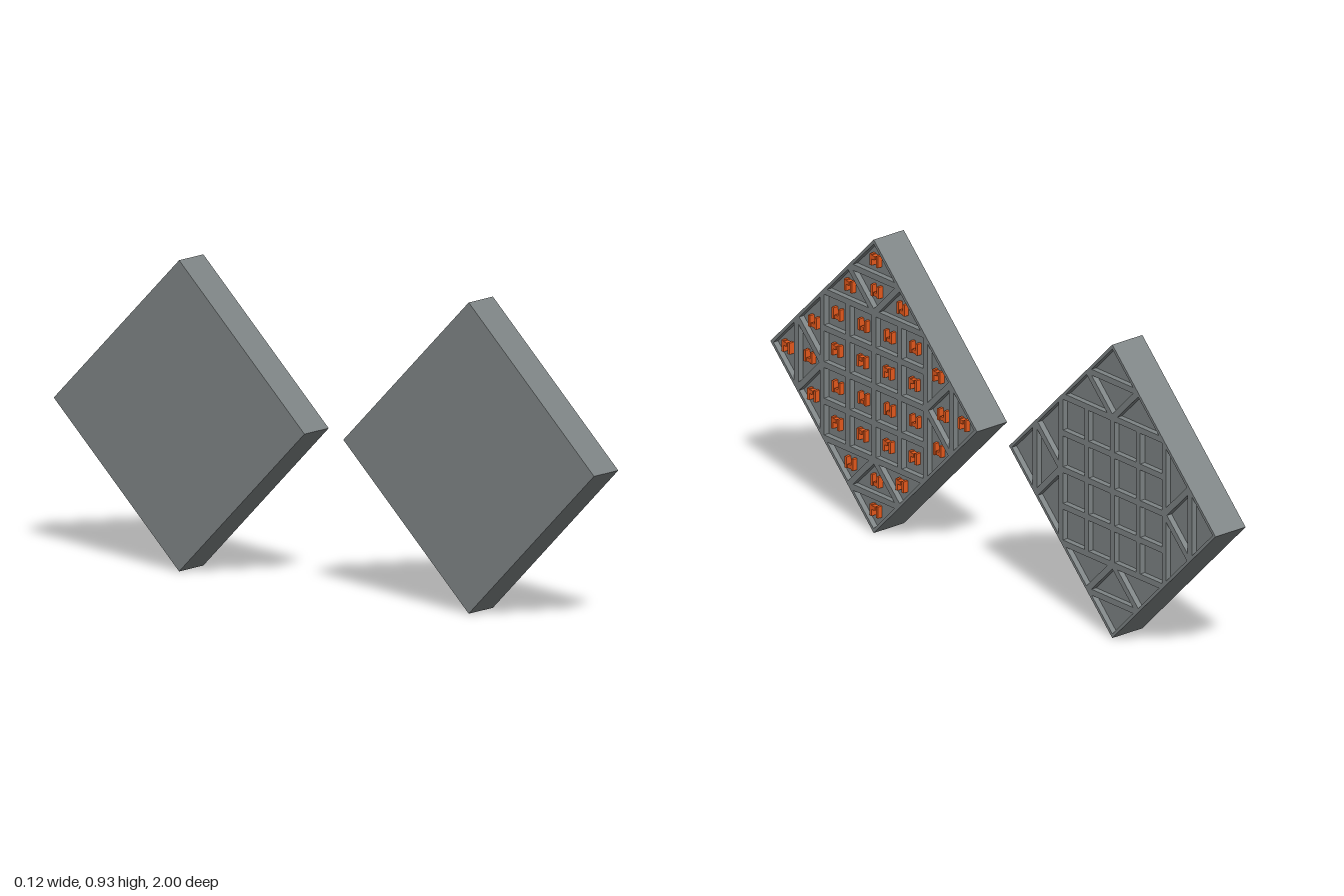
import * as THREE from 'three';

const R = 0.464;          // half diagonal of a plate
const H = R / 2;          // half side of the inner square field
const T = 0.116;          // plate thickness
const D = 0.018;          // depth of the pockets
const W = 0.0095;         // half width of the ribs between pockets

const grey = new THREE.MeshStandardMaterial({ color: 0x7d8384, flatShading: true });
const orange = new THREE.MeshStandardMaterial({ color: 0xe85a1c });

const v = (x, y) => new THREE.Vector2(x, y);

// A cell: its outline and the pocket outline, whose sides lie W further in
function makeCell(outer, centre, inradius) {
  const k = 1 - W / inradius;
  const inner = outer.map(p => p.clone().sub(centre).multiplyScalar(k).add(centre));
  return { outer, inner, centre };
}

function triangleCell(a, b, c) {
  const la = b.distanceTo(c), lb = a.distanceTo(c), lc = a.distanceTo(b), sum = la + lb + lc;
  const centre = v(
    (a.x * la + b.x * lb + c.x * lc) / sum,
    (a.y * la + b.y * lb + c.y * lc) / sum);
  const area = ((b.x - a.x) * (c.y - a.y) - (c.x - a.x) * (b.y - a.y)) / 2;
  return makeCell([a, b, c], centre, 2 * area / sum);
}

function allCells() {
  const cells = [];
  // 4 x 4 square cells
  const s = H / 4;
  for (let i = 0; i < 4; i++) {
    for (let j = 0; j < 4; j++) {
      const x = (i - 1.5) * 2 * s, y = (j - 1.5) * 2 * s;
      const square = [v(x - s, y - s), v(x + s, y - s), v(x + s, y + s), v(x - s, y + s)];
      cells.push(makeCell(square, v(x, y), s));
    }
  }
  // Each corner: a tip, an inverted middle and two side triangles
  const m = H * 1.5, q = H / 2;
  const corner = [
    [[-q, m], [q, m], [0, R]],
    [[-q, m], [0, H], [q, m]],
    [[-H, H], [0, H], [-q, m]],
    [[0, H], [H, H], [q, m]],
  ];
  for (let k = 0; k < 4; k++) {
    const turn = ([x, y]) => v(x, y).rotateAround(v(0, 0), k * Math.PI / 2);
    corner.forEach(([a, b, c]) => cells.push(triangleCell(turn(a), turn(b), turn(c))));
  }
  return cells;
}

// Ribs, pocket walls and pocket floors of all cells as one surface
function ribbedGeometry(cells) {
  const points = [];
  const top = p => new THREE.Vector3(p.x, p.y, T / 2);
  const low = p => new THREE.Vector3(p.x, p.y, T / 2 - D);
  const quad = (a, b, c, d) => points.push(a, b, c, a, c, d);
  cells.forEach(({ outer, inner }) => {
    const n = outer.length;
    for (let i = 0; i < n; i++) {
      const j = (i + 1) % n;
      quad(top(outer[i]), top(outer[j]), top(inner[j]), top(inner[i]));
      quad(top(inner[i]), top(inner[j]), low(inner[j]), low(inner[i]));
      if (i > 0 && j > 0) points.push(low(inner[0]), low(inner[i]), low(inner[j]));
    }
  });
  const geometry = new THREE.BufferGeometry().setFromPoints(points);
  geometry.computeVertexNormals();
  return geometry;
}

function makePlate(name, cells, marked) {
  const plate = new THREE.Group();
  plate.name = name;
  const add = (part, geometry) => {
    const mesh = new THREE.Mesh(geometry, grey);
    mesh.name = part;
    plate.add(mesh);
  };

  // Four edges, plain back and ribbed face
  add('edges', new THREE.CylinderGeometry(R, R, T, 4, 1, true).rotateX(Math.PI / 2));
  add('backFace', new THREE.CircleGeometry(R, 4).rotateY(Math.PI).translate(0, 0, -T / 2));
  add('ribbedFace', ribbedGeometry(cells));

  // Small raised bars in every pocket
  if (marked) {
    const height = D * 0.9;
    const tall = new THREE.BoxGeometry(0.009, 0.036, height);
    const short = new THREE.BoxGeometry(0.014, 0.012, height);
    cells.forEach(({ centre }, i) => {
      const marks = new THREE.Group();
      marks.name = 'pocketMarks';
      const flip = i % 2 ? -1 : 1;
      [[tall, -0.016, 0], [tall, 0.012, 0], [short, -0.004, 0.009]].forEach(([geometry, x, y]) => {
        const bar = new THREE.Mesh(geometry, orange);
        bar.name = 'markBar';
        bar.position.set(x * flip, y * flip, 0);
        marks.add(bar);
      });
      marks.position.set(centre.x, centre.y, T / 2 - D + height / 2);
      plate.add(marks);
    });
  }

  // Turn the ribbed face towards +x
  plate.rotation.y = Math.PI / 2;
  plate.position.y = R;
  return plate;
}

export function createModel() {
  const model = new THREE.Group();
  model.name = 'pocketPlates';
  const cells = allCells();
  const front = makePlate('markedPlate', cells, true);
  const back = makePlate('plainPlate', cells, false);
  front.position.z = 1 - R;
  back.position.z = R - 1;
  model.add(front, back);
  return model;
}
